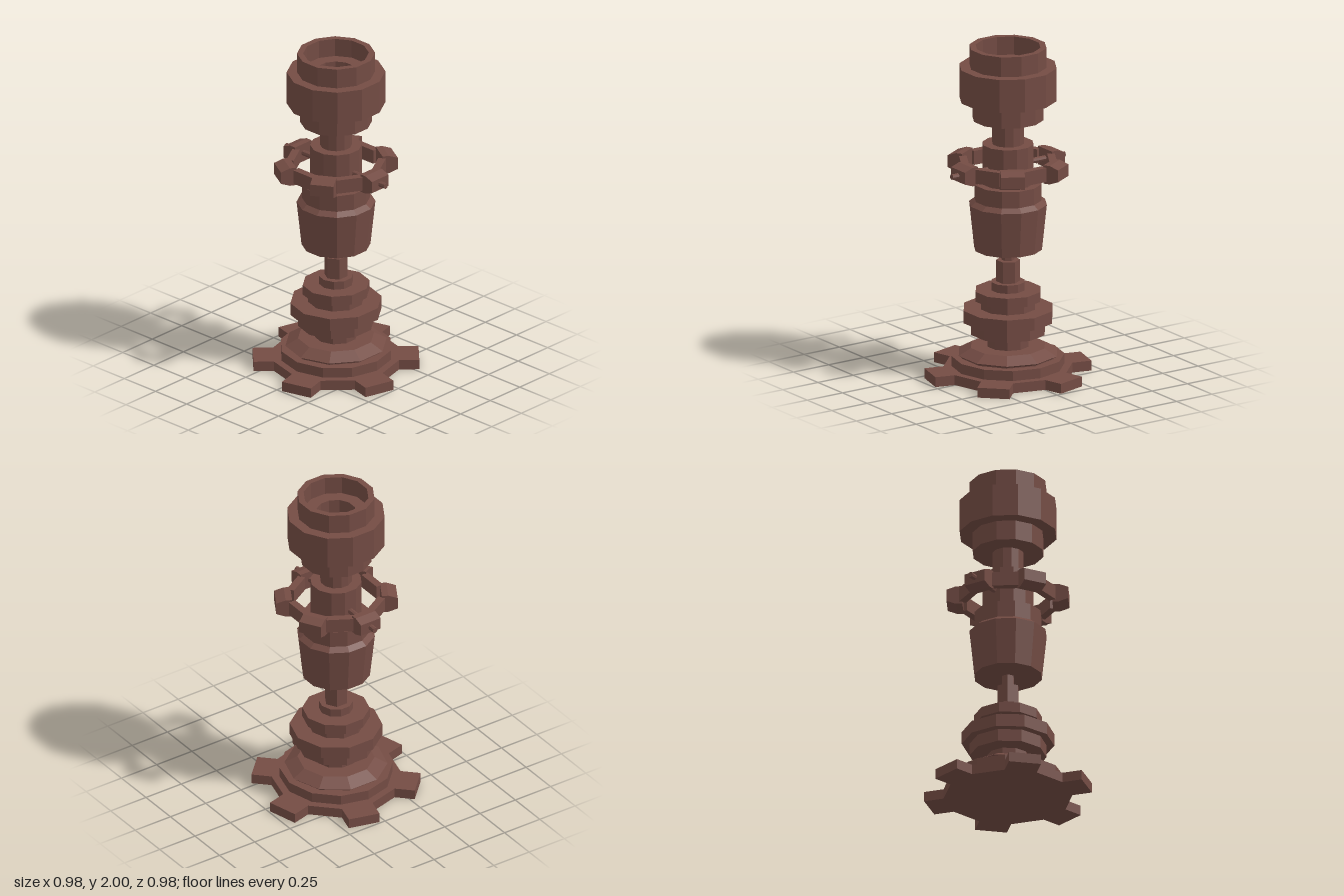
import * as THREE from 'three';

const material = new THREE.MeshStandardMaterial({ color: 0x744c44, flatShading: true });

function add(parent, name, geometry) {
  const mesh = new THREE.Mesh(geometry, material);
  mesh.name = name;
  parent.add(mesh);
  return mesh;
}

// Faceted turned part from [radius, y] pairs, listed bottom to top on the outside
function turned(parent, name, profile, sides, phase = 0) {
  const points = profile.map(([r, y]) => new THREE.Vector2(r, y));
  return add(parent, name, new THREE.LatheGeometry(points, sides, phase));
}

// Turned part of stacked plain discs: [radius, bottom, top]
function disc(parent, name, r, y0, y1, sides, phase = 0) {
  return turned(parent, name, [[0, y0], [r, y0], [r, y1], [0, y1]], sides, phase);
}

// Six-toothed gear: a twelve-sided body with a tooth on every other side
function gearGeometry(y0, y1) {
  const shape = new THREE.Shape();
  for (let i = 0; i < 6; i++) {
    const a = Math.PI / 4 + i * Math.PI / 3;
    const corners = [[0.364, -0.095], [0.483, -0.095], [0.483, 0.095], [0.364, 0.095]];
    corners.forEach(([u, v], k) => {
      const x = u * Math.cos(a) - v * Math.sin(a);
      const y = u * Math.sin(a) + v * Math.cos(a);
      if (i + k === 0) shape.moveTo(x, y); else shape.lineTo(x, y);
    });
  }
  shape.closePath();
  const g = new THREE.ExtrudeGeometry(shape, { depth: y1 - y0, bevelEnabled: false });
  return g.rotateX(-Math.PI / 2).translate(0, y0, 0);
}

export function createModel() {
  const model = new THREE.Group();
  model.name = 'model';

  // Base
  const base = new THREE.Group();
  base.name = 'base';
  model.add(base);
  add(base, 'gearFoot', gearGeometry(0, 0.06));
  disc(base, 'footPlate', 0.33, 0.05, 0.12, 12);
  turned(base, 'bevelledPlate',
    [[0, 0.11], [0.28, 0.11], [0.28, 0.125], [0.3, 0.138], [0.225, 0.18], [0, 0.18]], 10);

  // Stepped lower stem
  const stem = new THREE.Group();
  stem.name = 'lowerStem';
  model.add(stem);
  [
    [0.125, 0.17, 0.27, 10], [0.225, 0.26, 0.335, 10], [0.27, 0.335, 0.41, 10],
    [0.165, 0.4, 0.47, 10], [0.197, 0.46, 0.52, 10], [0.1, 0.51, 0.57, 10],
    [0.07, 0.56, 0.7, 6], [0.038, 0.69, 0.78, 6],
  ].forEach(([r, y0, y1, n], i) => disc(stem, 'stemStep' + (i + 1), r, y0, y1, n));

  // Upper parts have flat sides facing the axes; radii are given to the flats
  const phase = Math.PI / 12;
  const flat = (profile) => profile.map(([r, y]) => [r / Math.cos(phase), y]);
  turned(model, 'taperedBody', flat([
    [0, 0.77], [0.194, 0.77], [0.222, 1.045], [0.192, 1.07], [0.192, 1.17], [0, 1.17],
  ]), 12, phase);
  turned(model, 'column', flat([
    [0, 1.16], [0.146, 1.16], [0.146, 1.41], [0.09, 1.41], [0.09, 1.57], [0, 1.57],
  ]), 12, phase);
  turned(model, 'hollowHead', flat([
    [0, 1.56], [0.203, 1.56], [0.203, 1.68], [0.278, 1.68], [0.278, 1.88], [0.22, 1.88],
    [0.22, 2], [0.185, 2], [0.185, 1.89], [0.112, 1.89], [0.112, 1.76], [0, 1.76],
  ]), 12, phase);

  // Ring of alternating links and outward tapered blocks
  const ring = new THREE.Group();
  ring.name = 'ring';
  ring.position.y = 1.272;
  model.add(ring);
  const blockShape = new THREE.Shape([
    [0.262, -0.056], [0.3, -0.056], [0.355, -0.036],
    [0.355, 0.036], [0.3, 0.056], [0.262, 0.056],
  ].map(([x, y]) => new THREE.Vector2(x, y)));
  const block = new THREE.ExtrudeGeometry(blockShape, { depth: 0.14, bevelEnabled: false });
  block.translate(0, 0, -0.07);
  const link = new THREE.BoxGeometry(0.045, 0.085, 0.155).translate(0.2575, 0, 0);
  for (let i = 0; i < 6; i++) {
    add(ring, 'ringBlock' + (i + 1), block).rotation.y = i * Math.PI / 3;
    add(ring, 'ringLink' + (i + 1), link).rotation.y = (i + 0.5) * Math.PI / 3;
  }

  // Pins joining the ring to the column
  const pin = new THREE.CylinderGeometry(0.017, 0.017, 0.27, 8).rotateZ(Math.PI / 2);
  add(ring, 'leftPin', pin).position.x = 0.265;
  add(ring, 'rightPin', pin).position.x = -0.265;

  return model;
}
